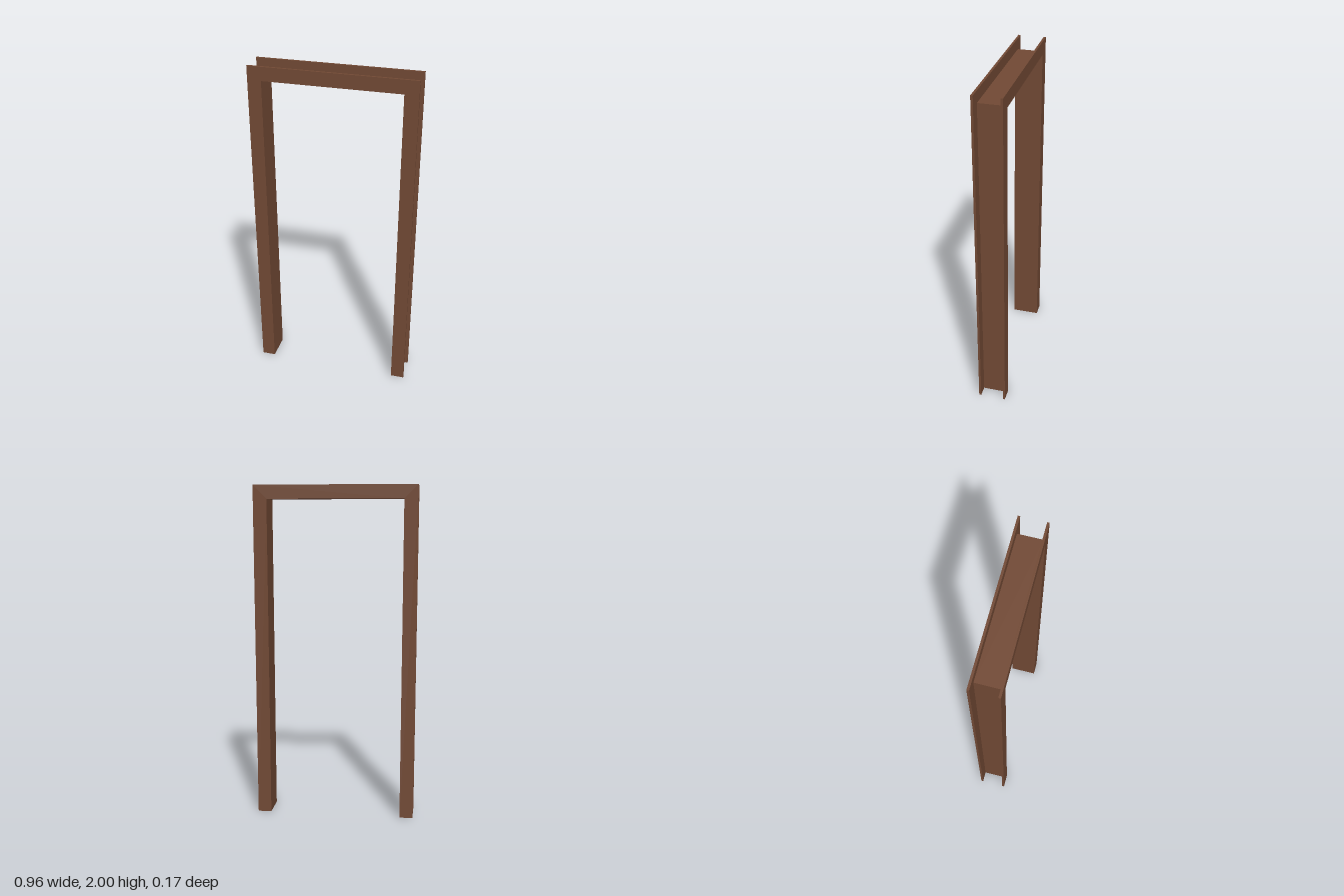
import * as THREE from 'three';

const INNER_X = 0.4, INNER_Y = 1.919; // door opening
const LINING = 0.016;                 // lining thickness
const FACE = 0.081;                   // casing face width
const HALF_DEPTH = 0.083, CASING = 0.013;

// Upside-down U around the opening, extruded from z0 to z1
function archGeometry(width, z0, z1) {
  const ox = INNER_X + width, oy = INNER_Y + width;
  const shape = new THREE.Shape([
    [-ox, 0], [-INNER_X, 0], [-INNER_X, INNER_Y], [INNER_X, INNER_Y],
    [INNER_X, 0], [ox, 0], [ox, oy], [-ox, oy],
  ].map(([x, y]) => new THREE.Vector2(x, y)));
  const geometry = new THREE.ExtrudeGeometry(shape, { depth: z1 - z0, bevelEnabled: false });
  return geometry.translate(0, 0, z0);
}

export function createModel() {
  const model = new THREE.Group();
  model.name = 'doorFrame';
  const wood = new THREE.MeshStandardMaterial({ color: 0x734a35 });
  wood.name = 'brown wood';

  const add = (name, geometry) => {
    const mesh = new THREE.Mesh(geometry, wood);
    mesh.name = name;
    model.add(mesh);
  };

  // Wide flat casings on both sides of the wall, joined by the thin lining
  const inner = HALF_DEPTH - CASING;
  add('frontCasing', archGeometry(FACE, inner, HALF_DEPTH));
  add('backCasing', archGeometry(FACE, -HALF_DEPTH, -inner));
  add('lining', archGeometry(LINING, -inner, inner));

  return model;
}
